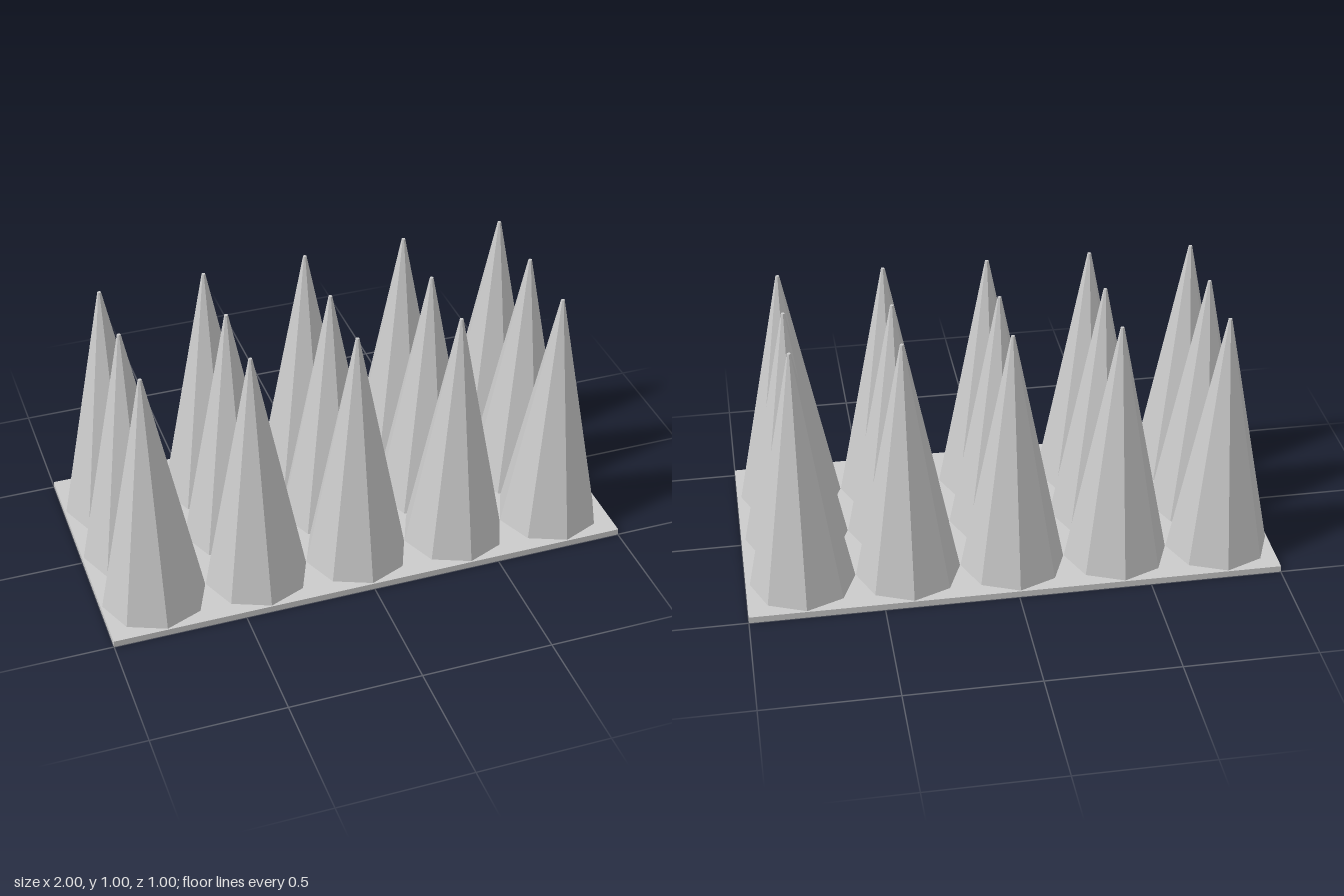
import * as THREE from 'three';

export function createModel() {
  const model = new THREE.Group();
  model.name = 'spikeBed';
  const material = new THREE.MeshStandardMaterial({ color: 0xcccccc, flatShading: true });

  // Thin rectangular base plate
  const plateHeight = 0.025;
  const plate = new THREE.Mesh(new THREE.BoxGeometry(2, plateHeight, 1), material);
  plate.name = 'basePlate';
  plate.position.y = plateHeight / 2;
  model.add(plate);

  // Eight-sided spikes with a tiny flat tip, in five columns and three rows
  const spikeHeight = 0.97;
  const spikeGeometry = new THREE.CylinderGeometry(0.007, 0.197, spikeHeight, 8);
  const spikes = new THREE.Group();
  spikes.name = 'spikes';
  for (let column = 0; column < 5; column++) {
    for (let row = 0; row < 3; row++) {
      const spike = new THREE.Mesh(spikeGeometry, material);
      spike.name = `spike${column + 1}Row${row + 1}`;
      spike.position.set(-0.797 + column * 0.396, plateHeight + spikeHeight / 2, (row - 1) * 0.298);
      spikes.add(spike);
    }
  }
  model.add(spikes);

  return model;
}
